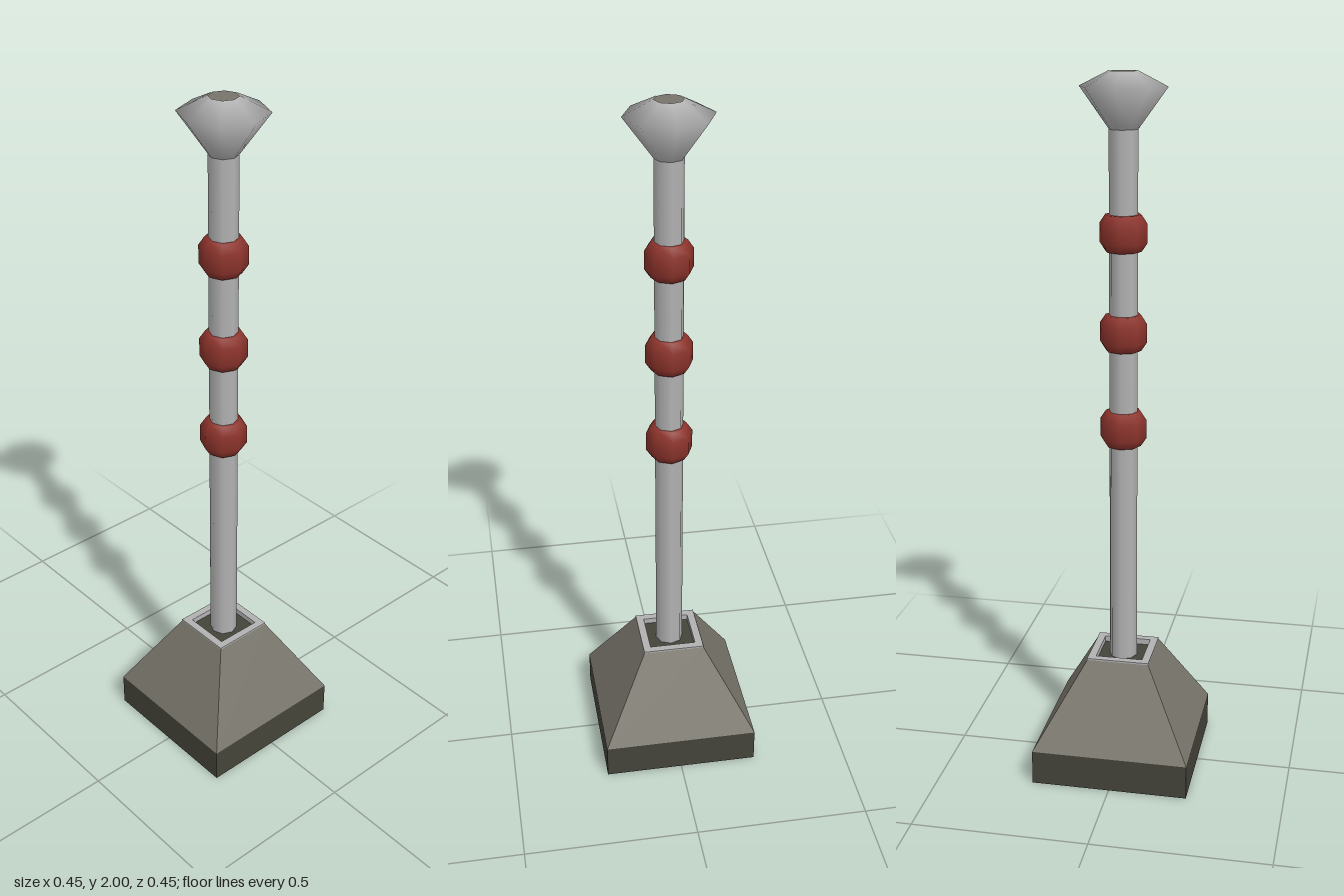
import * as THREE from 'three';

const paint = (name, color) => {
  const m = new THREE.MeshStandardMaterial({ color });
  m.name = name;
  return m;
};

export function createModel() {
  const steel = paint('light grey steel', 0xb2b2b2);
  const stone = paint('grey brown stone', 0x77746a);
  const plinthDark = paint('dark olive plinth', 0x44443a);
  const red = paint('dull red', 0x8c332b);

  const model = new THREE.Group();
  model.name = 'bandedPost';
  const add = (name, geometry, material, y = 0) => {
    const mesh = new THREE.Mesh(geometry, material);
    mesh.name = name;
    mesh.position.y = y;
    model.add(mesh);
    return mesh;
  };

  // Eight-sided turned part from [radius, height] pairs, bottom to top
  const turned = (profile) =>
    new THREE.LatheGeometry(profile.map(([r, y]) => new THREE.Vector2(r, y)), 8);

  // Square tapered shell with flat faces, given half widths
  const squareShell = (top, bottom, height) => {
    const g = new THREE.CylinderGeometry(top * Math.SQRT2, bottom * Math.SQRT2, height, 4, 1, true);
    g.rotateY(Math.PI / 4);
    const flat = g.toNonIndexed();
    flat.computeVertexNormals();
    return flat;
  };

  // Square foot and sloping base
  add('plinth', new THREE.BoxGeometry(0.45, 0.1, 0.45), plinthDark, 0.05);
  add('slopedBase', squareShell(0.09, 0.225, 0.24), stone, 0.22);

  // Pale rim around a shallow socket
  const rimShape = new THREE.Shape();
  rimShape.moveTo(-0.09, -0.09).lineTo(0.09, -0.09).lineTo(0.09, 0.09).lineTo(-0.09, 0.09).closePath();
  const opening = new THREE.Path();
  opening.moveTo(-0.068, -0.068).lineTo(-0.068, 0.068).lineTo(0.068, 0.068).lineTo(0.068, -0.068).closePath();
  rimShape.holes.push(opening);
  const rim = new THREE.ExtrudeGeometry(rimShape, { depth: 0.02, bevelEnabled: false });
  rim.rotateX(-Math.PI / 2);
  add('socketRim', rim, steel, 0.325);
  add('socketFloor', new THREE.PlaneGeometry(0.15, 0.15).rotateX(-Math.PI / 2), plinthDark, 0.328);

  // Pole
  add('pole', new THREE.CylinderGeometry(0.04, 0.04, 1.54, 8, 1, true), steel, 1.09);

  // Flared head with a flat disc on top
  add('flaredHead', turned([[0.04, 1.85], [0.12, 1.96], [0.04, 2]]), steel);
  add('headDisc', new THREE.CircleGeometry(0.04, 8).rotateX(-Math.PI / 2), stone, 1.999);

  // Three chamfered rings
  for (const y of [1.025, 1.3, 1.575]) {
    add('ring', turned([
      [0.038, -0.05], [0.05, -0.05], [0.066, -0.026],
      [0.066, 0.026], [0.05, 0.05], [0.038, 0.05],
    ]), red, y);
  }
  return model;
}
